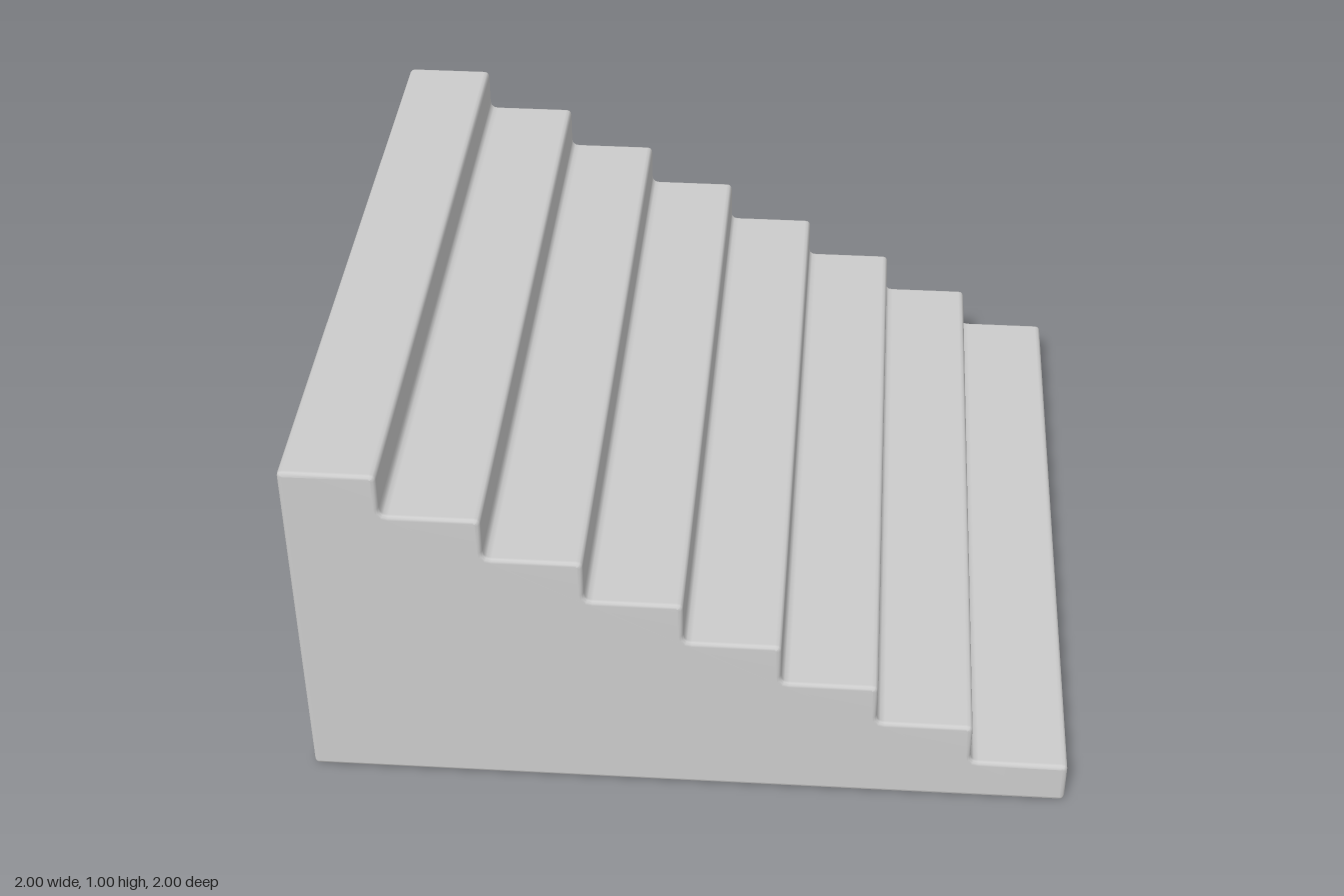
import * as THREE from 'three';
import { mergeVertices } from 'three/addons/utils/BufferGeometryUtils.js';

const STEPS = 8, RUN = 0.25, RISE = 0.125, BEVEL = 0.012;

// Closed outline with every corner softened by its own radius.
function roundedShape(corners) {
  const shape = new THREE.Shape();
  corners.forEach(([x, y, r], i) => {
    const p = new THREE.Vector2(x, y);
    const toward = (j) => {
      const q = corners[(j + corners.length) % corners.length];
      return new THREE.Vector2(q[0], q[1]).sub(p).setLength(r).add(p);
    };
    const a = toward(i - 1), b = toward(i + 1);
    if (i === 0) shape.moveTo(a.x, a.y);
    else shape.lineTo(a.x, a.y);
    shape.quadraticCurveTo(x, y, b.x, b.y);
  });
  shape.closePath();
  return shape;
}

export function createModel() {
  const group = new THREE.Group();
  group.name = 'staircase';

  // Stepped side profile, climbing from +x to -x
  const corners = [[-1, 0, 0.015], [1, 0, 0.015]];
  for (let i = 0; i < STEPS; i++) {
    const outer = i === 0 ? 1 : 1.0 - i * RUN - 0.005;
    const inner = 1 - (i + 1) * RUN - 0.005;
    const y = (i + 1) * RISE;
    corners.push([outer, y, 0.016]);
    if (i < STEPS - 1) corners.push([inner, y, 0.022]);
  }
  corners.push([-1, 1, 0.015]);

  // Solid block of steps with softened side edges
  let geometry = new THREE.ExtrudeGeometry(roundedShape(corners), {
    depth: 2 - 2 * BEVEL,
    curveSegments: 3,
    bevelThickness: BEVEL,
    bevelSize: BEVEL,
    bevelOffset: -BEVEL,
    bevelSegments: 3,
  });
  geometry.translate(0, 0, BEVEL - 1);

  // Shared vertices give smooth normals over the rounded edges
  geometry.deleteAttribute('uv');
  geometry.deleteAttribute('normal');
  geometry = mergeVertices(geometry, 1e-4);
  geometry.computeVertexNormals();

  const steps = new THREE.Mesh(geometry, new THREE.MeshStandardMaterial({ color: 0xcccccc }));
  steps.name = 'steps';
  group.add(steps);
  return group;
}
